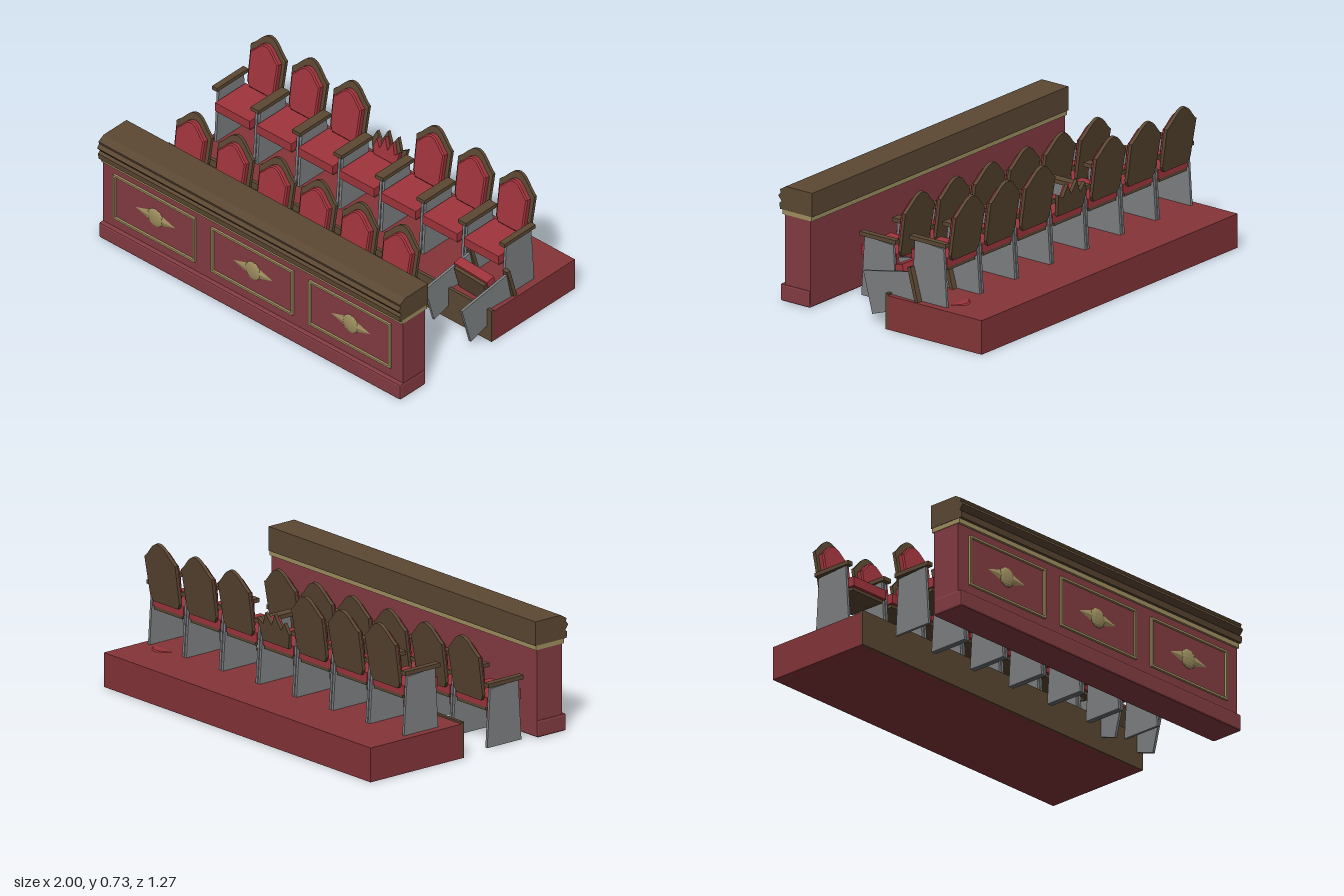
import * as THREE from 'three';
import { RoundedBoxGeometry } from 'three/addons/geometries/RoundedBoxGeometry.js';

const mat = (color) => new THREE.MeshStandardMaterial({ color, flatShading: true });
const WALL = mat(0x853c42), CARPET = mat(0x853538), CUSHION = mat(0xa0343c);
const WOOD = mat(0x5c4833), GOLD = mat(0xa09060), METAL = mat(0x7d8082);

function add(parent, name, geometry, material) {
  const mesh = new THREE.Mesh(geometry, material);
  mesh.name = name;
  parent.add(mesh);
  return mesh;
}

// Box given by its limits on each axis
function block(parent, name, material, [x0, x1], [y0, y1], [z0, z1]) {
  const mesh = add(parent, name, new THREE.BoxGeometry(x1 - x0, y1 - y0, z1 - z0), material);
  mesh.position.set((x0 + x1) / 2, (y0 + y1) / 2, (z0 + z1) / 2);
  return mesh;
}

// Side profile of [z, y] points, extruded along x and centred on x = 0
function sideProfile(points, width) {
  const shape = new THREE.Shape(points.map(([z, y]) => new THREE.Vector2(-z, y)));
  const geo = new THREE.ExtrudeGeometry(shape, { depth: width, bevelEnabled: false });
  return geo.translate(0, 0, -width / 2).rotateY(Math.PI / 2);
}

// Seat back outline: tapered foot, straight sides, bell-shaped crown
function backShape(w, bottom, shoulder, peak) {
  const s = new THREE.Shape();
  s.moveTo(-w * 0.8, bottom);
  s.lineTo(w * 0.8, bottom);
  s.lineTo(w * 0.95, bottom + 0.03);
  s.lineTo(w, shoulder);
  const rise = peak - shoulder;
  s.bezierCurveTo(w * 0.6, shoulder + rise * 0.35, w * 0.4, peak, 0, peak);
  s.bezierCurveTo(-w * 0.4, peak, -w * 0.6, shoulder + rise * 0.35, -w, shoulder);
  s.lineTo(-w * 0.95, bottom + 0.03);
  return s;
}

// Stub of a snapped seat back
function brokenShape(w, bottom, drop) {
  const jag = [[1, 0.12], [0.65, 0.095], [0.42, 0.16], [0.1, 0.1], [-0.18, 0.165],
    [-0.5, 0.09], [-0.78, 0.135], [-1, 0.08]];
  return new THREE.Shape([
    new THREE.Vector2(-w * 0.85, bottom), new THREE.Vector2(w * 0.85, bottom),
    ...jag.map(([x, y]) => new THREE.Vector2(x * w, y - drop)),
  ]);
}

const PANEL = sideProfile([[0.37, 0], [0.35, 0.31], [0.17, 0.3], [0.15, 0]], 0.014);

function createSeat(broken = false) {
  const seat = new THREE.Group();
  seat.name = broken ? 'brokenSeat' : 'seat';

  for (const side of [-1, 1]) {
    const x = side * 0.128;
    add(seat, 'sidePanel', PANEL, METAL).position.x = x;
    block(seat, 'armrest', WOOD, [x - 0.0165, x + 0.0165], [0.31, 0.331], [0.15, 0.375]);
  }
  block(seat, 'seatCushion', CUSHION, [-0.115, 0.115], [0.2, 0.25], [0.165, 0.386]);
  block(seat, 'seatBase', WOOD, [-0.105, 0.105], [0.184, 0.2], [0.165, 0.37]);

  // Reclined back with a padded front
  const back = new THREE.Group();
  back.name = 'backrest';
  back.position.set(0, 0.235, 0.147);
  back.rotation.x = -0.16;
  seat.add(back);
  const board = broken ? brokenShape(0.115, 0, 0) : backShape(0.115, 0, 0.235, 0.325);
  add(back, 'backBoard', new THREE.ExtrudeGeometry(board,
    { depth: 0.018, bevelEnabled: false, curveSegments: 7 }), WOOD);
  const pad = broken ? brokenShape(0.085, 0.02, 0.025) : backShape(0.087, 0.025, 0.212, 0.28);
  add(back, 'backPad', new THREE.ExtrudeGeometry(pad, {
    depth: 0.022, curveSegments: 7, bevelEnabled: !broken,
    bevelThickness: 0.007, bevelSize: 0.007, bevelSegments: 1,
  }), CUSHION).position.z = 0.018;
  return seat;
}

function createParapet() {
  const g = new THREE.Group();
  g.name = 'parapet';
  block(g, 'parapetWall', WALL, [-0.995, 0.995], [0.02, 0.455], [0.44, 0.6]);
  add(g, 'plinth', new RoundedBoxGeometry(2, 0.09, 0.186, 1, 0.01), WALL)
    .position.set(0, 0.045, 0.533);
  block(g, 'goldTrim', GOLD, [-0.998, 0.998], [0.452, 0.478], [0.43, 0.612]);
  // Moulded rail
  add(g, 'topRail', sideProfile([
    [0.425, 0.476], [0.627, 0.476], [0.63, 0.508], [0.617, 0.518], [0.637, 0.544],
    [0.622, 0.563], [0.627, 0.578], [0.59, 0.6], [0.425, 0.6],
  ], 2), WOOD);

  // Framed panels with a diamond ornament
  for (const x of [-0.6475, 0, 0.6475]) {
    const rect = (w, h) => [[-w, -h], [w, -h], [w, h], [-w, h]].map((p) => new THREE.Vector2(...p));
    const frame = new THREE.Shape(rect(0.271, 0.133));
    frame.holes.push(new THREE.Path(rect(0.26, 0.122).reverse()));
    add(g, 'panelFrame', new THREE.ExtrudeGeometry(frame, { depth: 0.013, bevelEnabled: false }), GOLD)
      .position.set(x, 0.278, 0.599);

    const diamond = add(g, 'panelDiamond',
      new THREE.ConeGeometry(1, 1, 4).rotateX(Math.PI / 2), GOLD);
    diamond.scale.set(0.143, 0.046, 0.012);
    diamond.position.set(x, 0.278, 0.605);
    const boss = add(g, 'panelBoss', new THREE.SphereGeometry(1, 12, 8), GOLD);
    boss.scale.set(0.052, 0.052, 0.012);
    boss.position.set(x, 0.278, 0.6);
  }
  return g;
}

export function createModel() {
  const model = new THREE.Group();
  model.name = 'theatreBalcony';
  model.add(createParapet());

  // Raised floor for the rear row
  block(model, 'platform', CARPET, [-1, 1], [0, 0.176], [-0.635, -0.045]);
  block(model, 'stepEdge', WOOD, [-1, 1], [0, 0.185], [-0.05, -0.033]);

  // Two rows; the rear middle seat has a snapped back
  for (let i = 0; i < 7; i++) {
    const x = (i - 3) * 0.275;
    const rear = createSeat(i === 3);
    rear.position.set(x, 0.175, -0.535);
    model.add(rear);
    if (i < 6) {
      const front = createSeat();
      front.position.x = x;
      model.add(front);
    }
  }

  // Last front seat, toppled back against the step
  const fallen = createSeat();
  fallen.name = 'toppledSeat';
  fallen.rotation.set(-1.298, -0.055, 0, 'YXZ');
  fallen.position.set(0.832, -0.101, 0.03);
  model.add(fallen);

  return model;
}
